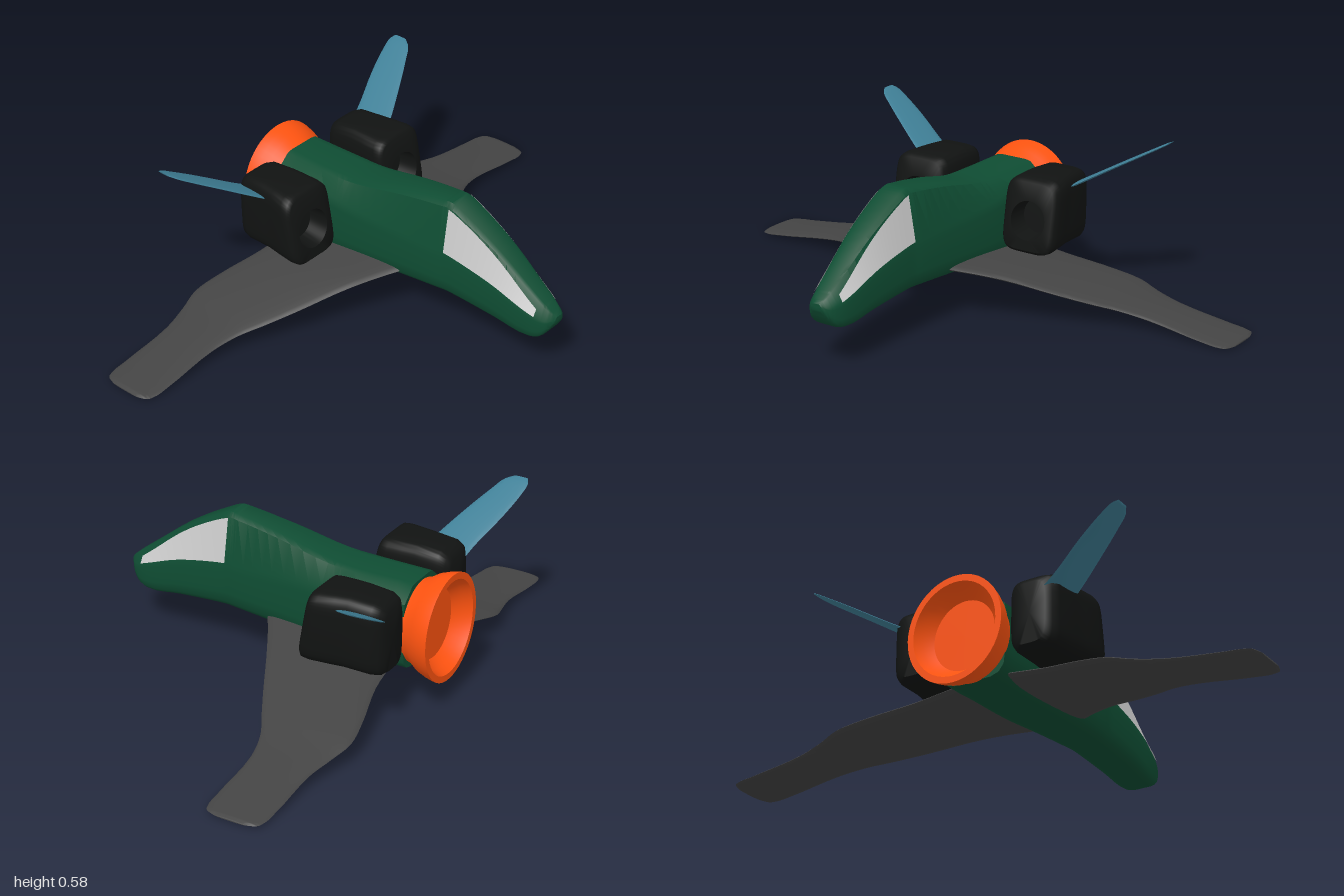
import * as THREE from 'three';
import { toCreasedNormals } from 'three/addons/utils/BufferGeometryUtils.js';

// Smoothly interpolates table rows by their first column
function keyed(rows) {
  const size = rows[0].length - 1;
  const curve = new THREE.CubicInterpolant(rows.map(r => r[0]), rows.flatMap(r => r.slice(1)), size, new Float32Array(size));
  return t => Array.from(curve.evaluate(t));
}

// Row positions with extra steps between them
function steps(rows, n) {
  const out = [];
  rows.forEach((r, i) => {
    if (i === rows.length - 1) out.push(r[0]);
    else for (let k = 0; k < n; k++) out.push(r[0] + (rows[i + 1][0] - r[0]) * k / n);
  });
  return out;
}

// Skins closed rings of [x, y, z], caps both ends and turns faces outward
function loft(rings, side = 1, crease = 0.7) {
  const n = rings[0].length, pos = [], idx = [];
  for (const ring of rings) for (const p of ring) pos.push(p[0] * side, p[1], p[2]);
  for (let i = 0; i < rings.length - 1; i++) for (let j = 0; j < n; j++) {
    const a = i * n + j, b = i * n + (j + 1) % n;
    idx.push(a, b, a + n, b, b + n, a + n);
  }
  for (const i of [0, rings.length - 1]) {
    const c = pos.length / 3, mid = [0, 1, 2].map(k => rings[i].reduce((s, p) => s + p[k], 0) / n);
    pos.push(mid[0] * side, mid[1], mid[2]);
    for (let j = 0; j < n; j++) {
      const a = i * n + j, b = i * n + (j + 1) % n;
      if (i === 0) idx.push(c, b, a); else idx.push(c, a, b);
    }
  }
  let volume = 0;
  const v = i => new THREE.Vector3().fromArray(pos, i * 3);
  for (let i = 0; i < idx.length; i += 3) volume += v(idx[i]).dot(v(idx[i + 1]).cross(v(idx[i + 2])));
  if (volume < 0) idx.reverse();
  const g = new THREE.BufferGeometry();
  g.setAttribute('position', new THREE.Float32BufferAttribute(pos, 3));
  g.setIndex(idx);
  return toCreasedNormals(g, crease);
}

// Fuselage stations: z, bottom, shoulder height, top, half width, roof half width
const HULL = [
  [-0.515, 0.14, 0.39, 0.44, 0.125, 0.07],
  [-0.3, 0.145, 0.39, 0.44, 0.125, 0.075],
  [-0.2, 0.15, 0.375, 0.448, 0.12, 0.072],
  [0, 0.166, 0.36, 0.492, 0.105, 0.065],
  [0.16, 0.175, 0.347, 0.518, 0.091, 0.058],
  [0.2, 0.176, 0.345, 0.521, 0.086, 0.055],
  [0.25, 0.174, 0.338, 0.5, 0.084, 0.053],
  [0.4, 0.162, 0.305, 0.415, 0.078, 0.045],
  [0.54, 0.147, 0.252, 0.31, 0.066, 0.034],
  [0.58, 0.16, 0.236, 0.28, 0.055, 0.03],
  [0.605, 0.19, 0.23, 0.26, 0.042, 0.024],
  [0.624, 0.222, 0.236, 0.243, 0.02, 0.012]];
const hullAt = keyed(HULL);

function hullRing(z) {
  const [bot, mid, top, w, wt] = hullAt(z), h = mid - bot, e = (top - mid) * 0.08;
  const half = [[wt * 0.7, top], [wt, top - e], [w * 0.97, mid], [w, mid - h * 0.15],
    [w, bot + h * 0.35], [w * 0.95, bot + h * 0.14], [w * 0.8, bot + h * 0.04], [w * 0.55, bot]];
  return [...half, ...half.map(([x, y]) => [-x, y]).reverse()].map(([x, y]) => [x, y, z]);
}

// Window panel lying on the sloped upper side of the fuselage
function windowPanel(side) {
  const cols = 16, pos = [], idx = [];
  for (let i = 0; i <= cols; i++) {
    const s = i / cols, z = 0.2 + 0.365 * s;
    const [, mid, top, w, wt] = hullAt(z), e = (top - mid) * 0.08;
    for (const f of [0.02 + 0.45 * s ** 3, 1]) {
      pos.push(side * (THREE.MathUtils.lerp(wt, w * 0.97, f) + 0.003),
        THREE.MathUtils.lerp(top - e, mid, f) + 0.001, z);
    }
    if (i < cols) {
      const a = i * 2, quad = [a, a + 1, a + 2, a + 1, a + 3, a + 2];
      idx.push(...(side > 0 ? quad : quad.reverse()));
    }
  }
  const g = new THREE.BufferGeometry();
  g.setAttribute('position', new THREE.Float32BufferAttribute(pos, 3));
  g.setIndex(idx);
  g.computeVertexNormals();
  return g;
}

// Thin blade stations: x, leading y, trailing y, leading z, trailing z, thickness
function blade(rows, side) {
  const at = keyed(rows), n = 28;
  return loft(steps(rows, 4).map(x => {
    const [yl, yt, zl, zt, t] = at(x);
    return Array.from({ length: n }, (_, k) => {
      const a = k / n * Math.PI * 2, f = (1 - Math.cos(a)) / 2;
      return [x, yl + (yt - yl) * f + Math.sin(a) * t / 2, zl + (zt - zl) * f];
    });
  }), side, 1.2);
}

const WING = [
  [0, 0.215, 0.175, 0.1, -0.46, 0.05],
  [0.1, 0.195, 0.16, 0.02, -0.47, 0.045],
  [0.25, 0.165, 0.135, -0.07, -0.485, 0.04],
  [0.42, 0.117, 0.1, -0.16, -0.53, 0.036],
  [0.52, 0.09, 0.078, -0.215, -0.545, 0.032],
  [0.6, 0.07, 0.06, -0.26, -0.525, 0.028],
  [0.7, 0.05, 0.045, -0.287, -0.503, 0.026],
  [0.9, 0.02, 0.018, -0.29, -0.5, 0.02],
  [0.97, 0.012, 0.012, -0.296, -0.494, 0.016],
  [0.99, 0.011, 0.011, -0.31, -0.48, 0.012],
  [1, 0.01, 0.01, -0.34, -0.45, 0.005]];

const FIN = [
  [0.22, 0.37, 0.37, -0.35, -0.52, 0.014],
  [0.32, 0.425, 0.425, -0.388, -0.54, 0.014],
  [0.45, 0.5, 0.5, -0.45, -0.585, 0.012],
  [0.54, 0.551, 0.551, -0.498, -0.607, 0.01],
  [0.58, 0.574, 0.574, -0.523, -0.61, 0.008],
  [0.598, 0.584, 0.584, -0.55, -0.6, 0.004]];

// Engine rings: z, centre x, centre y, half width, half height, squareness
const ENGINE = [
  [-0.532, 0.225, 0.32, 0.06, 0.108, 4],
  [-0.518, 0.226, 0.325, 0.078, 0.122, 5],
  [-0.49, 0.227, 0.33, 0.088, 0.129, 5],
  [-0.4, 0.228, 0.335, 0.092, 0.131, 5],
  [-0.35, 0.231, 0.335, 0.098, 0.131, 5],
  [-0.29, 0.235, 0.335, 0.104, 0.13, 5],
  [-0.262, 0.235, 0.335, 0.102, 0.127, 5],
  [-0.252, 0.235, 0.335, 0.092, 0.117, 5],
  [-0.25, 0.235, 0.322, 0.068, 0.068, 2],
  [-0.32, 0.235, 0.322, 0.06, 0.06, 2]];

function engine(side) {
  const n = 48, bend = (c, e) => Math.sign(c) * Math.abs(c) ** (2 / e);
  return loft(ENGINE.map(([z, cx, cy, w, h, e]) => Array.from({ length: n }, (_, k) => {
    const a = k / n * Math.PI * 2, y = cy + h * bend(Math.sin(a), e);
    // the intake face leans back toward the top
    return [cx + w * bend(Math.cos(a), e), y, z - (y - 0.335) * 0.17 * (z + 0.532) / 0.28];
  })), side, 0.8);
}

// Rear nozzle with a recessed flat centre
function nozzle() {
  const profile = [[0, 0], [0.145, 0], [0.15, 0.02], [0.17, 0.05], [0.181, 0.08], [0.187, 0.105], [0.188, 0.115],
    [0.165, 0.115], [0.15, 0.085], [0.122, 0.055], [0, 0.055]];
  const g = new THREE.LatheGeometry(profile.map(p => new THREE.Vector2(...p)), 48);
  g.rotateX(-Math.PI / 2);
  g.scale(0.96, 1.01, 1);
  g.translate(0, 0.283, -0.51);
  return toCreasedNormals(g, 0.6);
}

export function createModel() {
  const group = new THREE.Group();
  const mat = color => new THREE.MeshStandardMaterial({ color, side: THREE.DoubleSide });
  const green = mat(0x0f4d33), glass = mat(0xcccccc), grey = mat(0x444444);
  const black = mat(0x111312), teal = mat(0x3f7f96), orange = mat(0xff5310);
  const add = (name, geometry, material) => {
    const mesh = new THREE.Mesh(geometry, material);
    mesh.name = name;
    group.add(mesh);
  };

  add('fuselage', loft(steps(HULL, 4).map(hullRing)), green);
  add('nozzle', nozzle(), orange);
  for (const [label, side] of [['left', 1], ['right', -1]]) {
    add(label + 'Window', windowPanel(side), glass);
    add(label + 'Wing', blade(WING, side), grey);
    add(label + 'Engine', engine(side), black);
    add(label + 'Fin', blade(FIN, side), teal);
  }
  return group;
}
